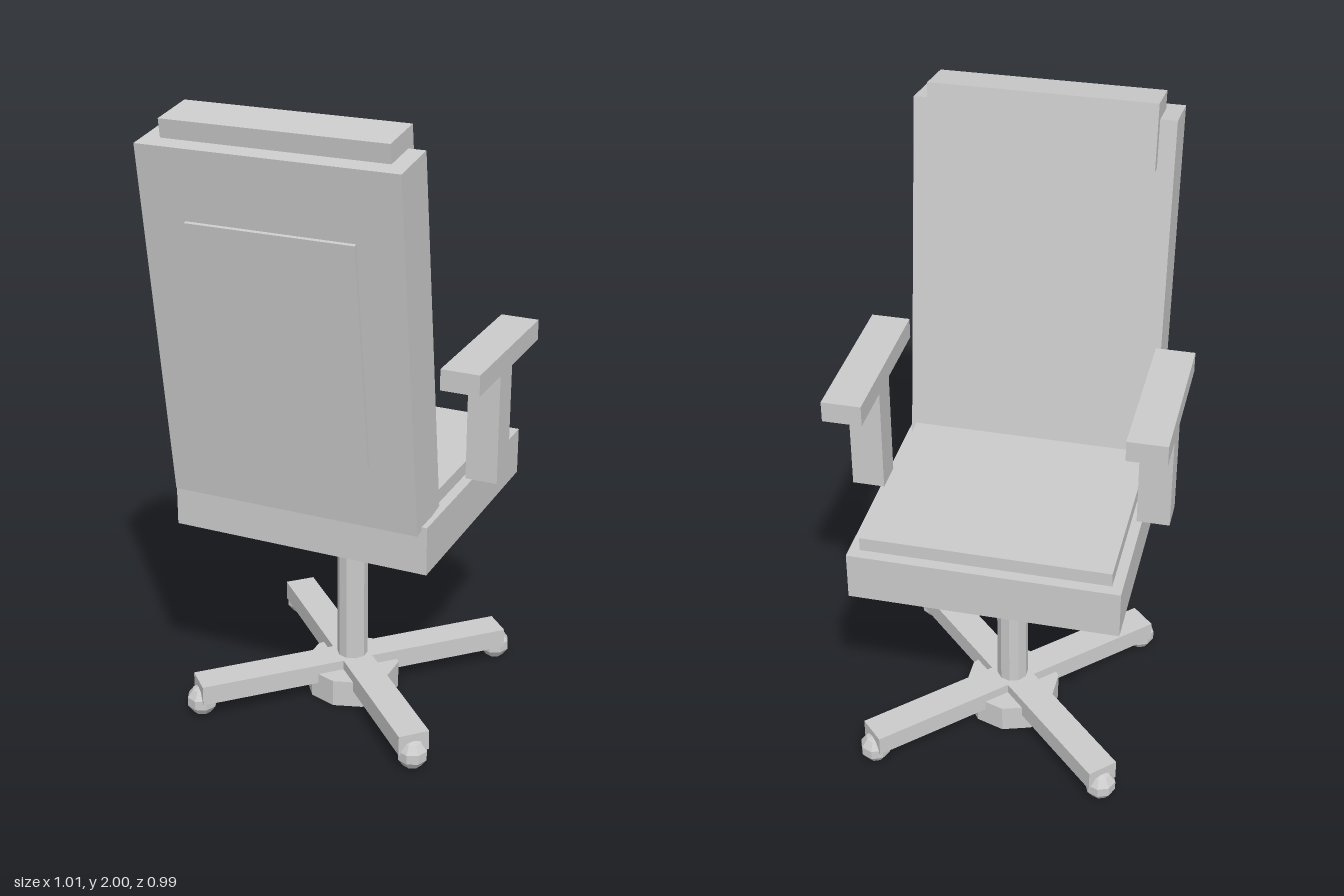
import * as THREE from 'three';

const material = new THREE.MeshStandardMaterial({ color: 0xcccccc, flatShading: true });

function add(parent, name, geometry, x, y, z) {
  const mesh = new THREE.Mesh(geometry, material);
  mesh.name = name;
  mesh.position.set(x, y, z);
  parent.add(mesh);
  return mesh;
}

const box = (w, h, d) => new THREE.BoxGeometry(w, h, d);

export function createModel() {
  const chair = new THREE.Group();
  chair.name = 'officeChair';
  const cz = -0.083; // axis of the seat and column

  // Base: hub, crossed legs and faceted casters
  const base = new THREE.Group();
  base.name = 'base';
  base.position.z = cz;
  chair.add(base);
  add(base, 'hub', new THREE.CylinderGeometry(0.152, 0.152, 0.09, 10), 0, 0.045, 0);
  add(base, 'column', new THREE.CylinderGeometry(0.05, 0.05, 0.62, 10), 0, 0.39, 0);
  for (let i = 0; i < 4; i++) {
    const angle = Math.PI / 4 + (i * Math.PI) / 2;
    const c = Math.cos(angle), s = Math.sin(angle);
    const leg = add(base, 'leg', box(0.1, 0.065, 0.527), s * 0.2635, 0.0895, c * 0.2635);
    leg.rotation.y = angle;
    add(base, 'caster', new THREE.SphereGeometry(0.05, 8, 5),
      Math.sign(s) * 0.365, 0.05, Math.sign(c) * 0.365);
  }

  // Seat
  add(chair, 'seatBase', box(0.82, 0.152, 0.79), 0, 0.76, cz);
  add(chair, 'seatCushion', box(0.756, 0.08, 0.72), 0, 0.84, cz);

  // Armrests
  for (const side of [-1, 1]) {
    add(chair, 'armPost', box(0.1, 0.362, 0.1), side * 0.445, 1.026, cz);
    add(chair, 'armPad', box(0.12, 0.065, 0.51), side * 0.445, 1.238, cz);
  }

  // Reclined back, built upright in a tilted group
  const back = new THREE.Group();
  back.name = 'back';
  back.position.set(0, 1.38, 0.337);
  back.rotation.x = THREE.MathUtils.degToRad(8);
  chair.add(back);
  add(back, 'backrest', box(0.786, 1.107, 0.17), 0, 0, 0);
  add(back, 'headrest', box(0.684, 0.202, 0.15), 0, 0.508, -0.046);
  add(back, 'rearPanel', box(0.512, 0.686, 0.06), 0, -0.002, 0.068);

  return chair;
}
